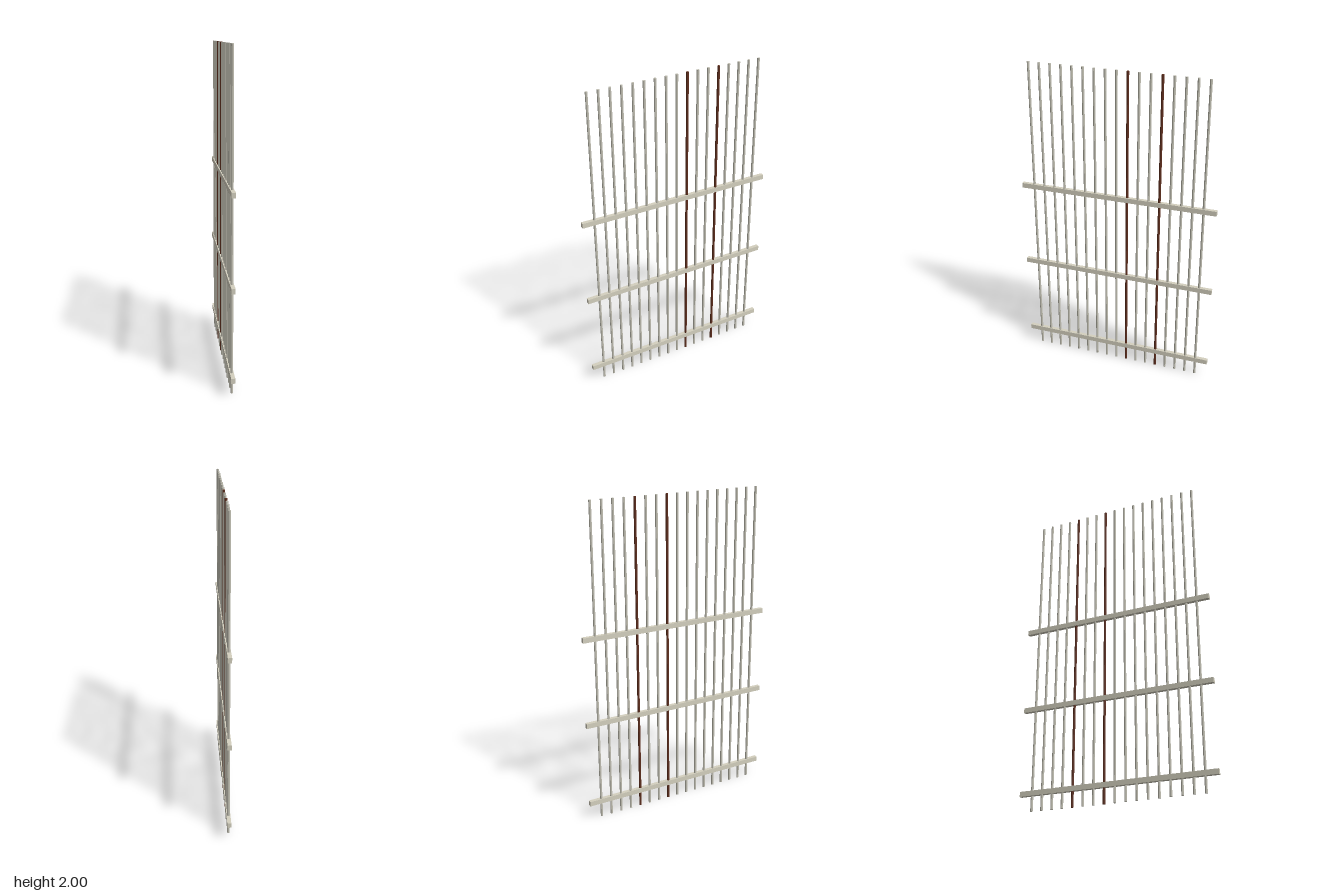
import * as THREE from 'three';

export function createModel() {
  const model = new THREE.Group();
  model.name = 'barredGrate';

  const material = (name, color) => {
    const m = new THREE.MeshStandardMaterial({ color });
    m.name = name;
    return m;
  };
  const steel = material('steel grey', 0xc4c2b5);
  const rust = material('dark rust', 0x5e2e1d);
  const railMetal = material('pale rail metal', 0xd4d0bf);

  // Upright eight-sided bars, evenly spaced along z; two of them are rusted
  const barCount = 17;
  const spacing = 0.0685;
  const rusted = [4, 7];
  const barGeometry = new THREE.CylinderGeometry(0.008, 0.008, 2, 8).toNonIndexed();
  barGeometry.computeVertexNormals();
  for (let i = 0; i < barCount; i++) {
    const isRusted = rusted.includes(i);
    const bar = new THREE.Mesh(barGeometry, isRusted ? rust : steel);
    bar.name = isRusted ? 'rustedBar' : 'bar';
    bar.position.set(0, 1, (i - (barCount - 1) / 2) * spacing);
    model.add(bar);
  }

  // Three flat cross rails that the bars pass through
  const railGeometry = new THREE.BoxGeometry(0.024, 0.031, 1.256);
  for (const y of [0.111, 0.649, 1.196]) {
    const rail = new THREE.Mesh(railGeometry, railMetal);
    rail.name = 'crossRail';
    rail.position.y = y;
    model.add(rail);
  }

  return model;
}
